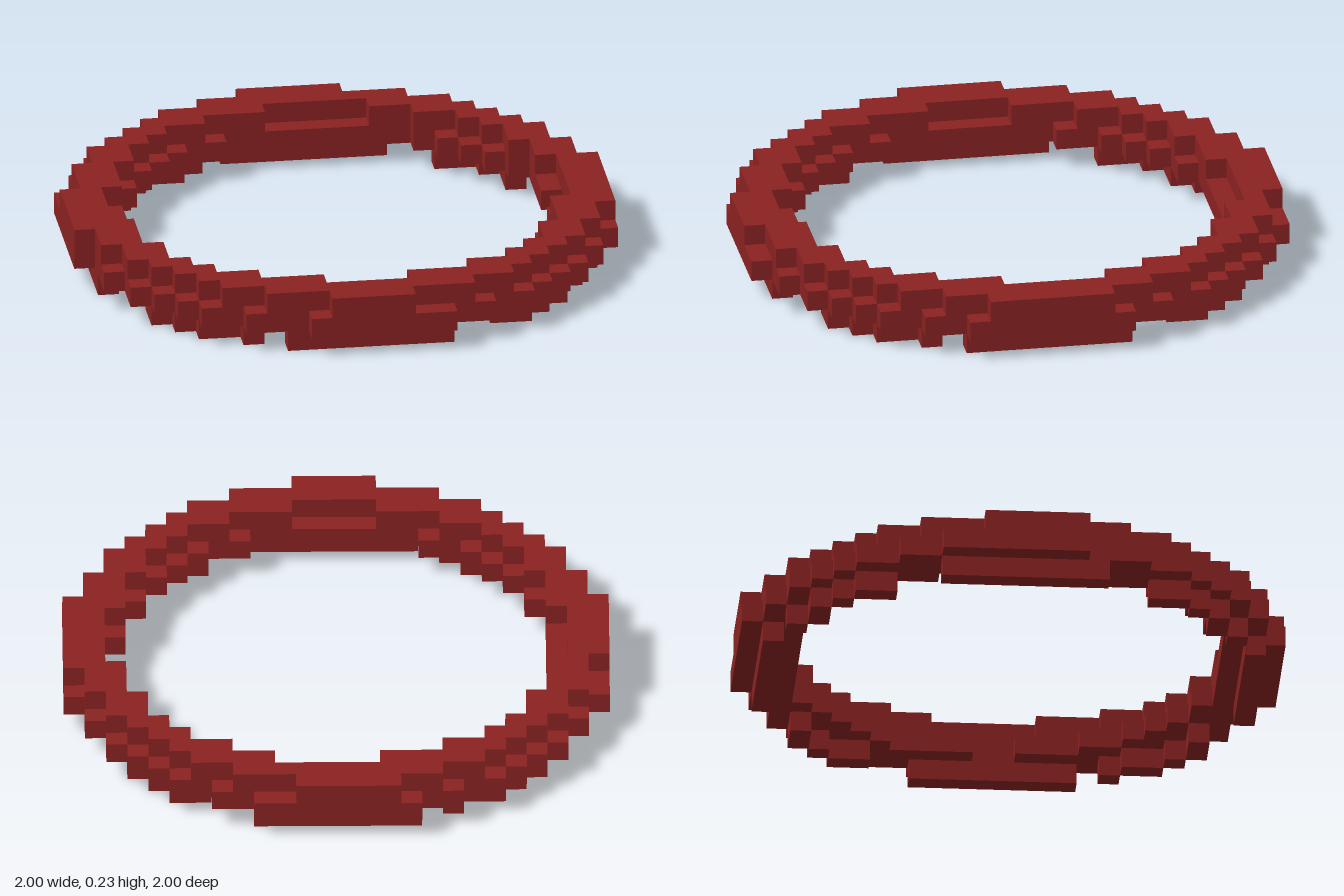
import * as THREE from 'three';

const HALF = 13;            // ring radius in cells
const U = 1 / HALF;         // cell size

// Each layer keeps the cells whose squared radius lies in [inner, outer);
// add / cut list single cells (centre x, z) that break the symmetry.
const LAYERS = [
  { name: 'lowerRing', inner: 132, outer: 147, add: [],
    cut: [[5.5, 10.5], [5.5, -10.5], [-10.5, 5.5], [-10.5, -5.5], [10.5, -5.5]] },
  { name: 'middleRing', inner: 110, outer: 169, add: [],
    cut: [[10.5, 0.5], [10.5, -0.5], [4.5, -9.5], [9.5, -4.5], [-12.5, 3.5], [-3.5, 12.5]] },
  { name: 'upperRing', inner: 116, outer: 162,
    add: [[-2.5, -12.5], [12.5, -2.5], [12.5, 2.5], [-12.5, 2.5]],
    cut: [[2.5, -10.5], [10.5, -2.5]] },
];

const listed = (list, x, z) => list.some(([a, b]) => a === x && b === z);

function filled(x, layer, z) {
  const l = LAYERS[layer];
  if (!l || listed(l.cut, x, z)) return false;
  if (listed(l.add, x, z)) return true;
  const r2 = x * x + z * z;
  return r2 >= l.inner && r2 < l.outer;
}

// Outer faces of all the cells in one layer
function layerGeometry(layer) {
  const positions = [];
  const normals = [];
  const addFace = (centre, axis, sign) => {
    const n = [0, 0, 0];
    n[axis] = sign;
    const corner = (a, b) => {
      const p = [...centre];
      p[axis] += sign * 0.5;
      p[(axis + 1) % 3] += a * 0.5 * sign;
      p[(axis + 2) % 3] += b * 0.5;
      return p.map((v) => v * U);
    };
    const q = [corner(-1, -1), corner(1, -1), corner(1, 1), corner(-1, 1)];
    for (const i of [0, 1, 2, 0, 2, 3]) {
      positions.push(...q[i]);
      normals.push(...n);
    }
  };
  for (let x = -HALF + 0.5; x < HALF; x++) {
    for (let z = -HALF + 0.5; z < HALF; z++) {
      if (!filled(x, layer, z)) continue;
      for (let axis = 0; axis < 3; axis++) {
        for (const sign of [-1, 1]) {
          const next = [x, layer, z];
          next[axis] += sign;
          if (!filled(...next)) addFace([x, layer + 0.5, z], axis, sign);
        }
      }
    }
  }
  const geometry = new THREE.BufferGeometry();
  geometry.setAttribute('position', new THREE.Float32BufferAttribute(positions, 3));
  geometry.setAttribute('normal', new THREE.Float32BufferAttribute(normals, 3));
  return geometry;
}

export function createModel() {
  const group = new THREE.Group();
  group.name = 'blockRing';
  const darkRed = new THREE.MeshStandardMaterial({ color: 0x8b2222 });
  darkRed.name = 'darkRed';
  LAYERS.forEach((l, i) => {
    const mesh = new THREE.Mesh(layerGeometry(i), darkRed);
    mesh.name = l.name;
    group.add(mesh);
  });
  return group;
}
